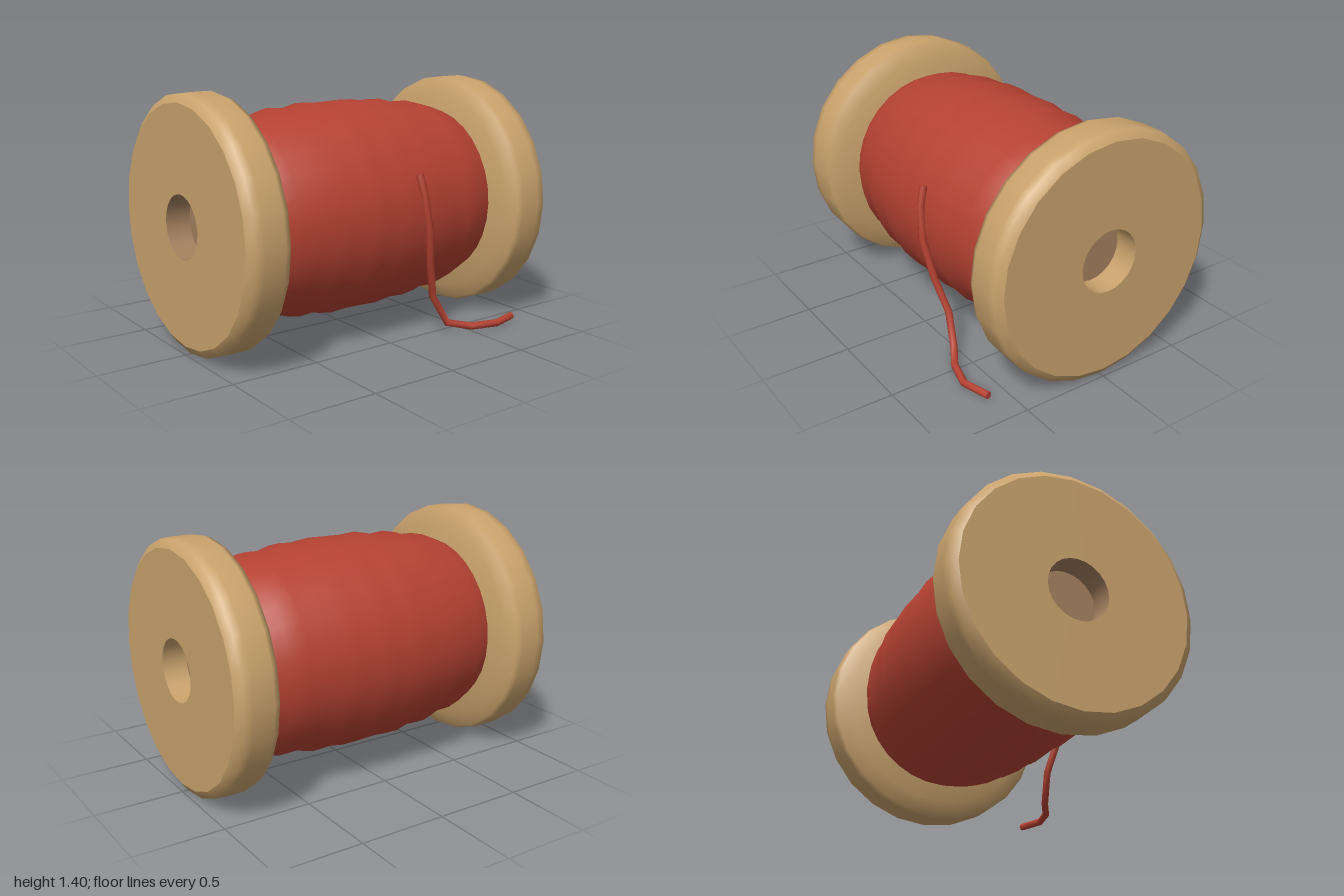
import * as THREE from 'three';

const AXIS_Y = 0.7;

export function createModel() {
  const model = new THREE.Group();
  const wood = new THREE.MeshStandardMaterial({ color: 0xc9a26c });
  wood.name = 'lightWood';
  const core = new THREE.MeshStandardMaterial({ color: 0xa3805e });
  core.name = 'darkWood';
  const red = new THREE.MeshStandardMaterial({ color: 0xb54232 });
  red.name = 'redThread';

  // Turned surface about the x axis, from [radius, x] pairs
  const turned = (name, profile, material, segments = 24) => {
    const points = profile.map(([r, x]) => new THREE.Vector2(r, x));
    const geometry = new THREE.LatheGeometry(points, segments).rotateZ(-Math.PI / 2);
    const mesh = new THREE.Mesh(geometry, material);
    mesh.name = name;
    return mesh;
  };

  // Flanges: rounded rim, flat end face and a shallow blind bore
  for (const side of [1, -1]) {
    const flange = new THREE.Group();
    flange.name = side > 0 ? 'leftFlange' : 'rightFlange';
    flange.add(
      turned('rim', [[0.46, 0.71], [0.505, 0.715], [0.6, 0.742], [0.684, 0.77],
        [0.698, 0.805], [0.698, 0.92], [0.694, 0.97], [0.65, 1]], wood),
      turned('endFace', [[0.65, 1], [0.175, 1]], wood),
      turned('boreWall', [[0.175, 1], [0.175, 0.86]], side > 0 ? wood : core),
      turned('boreBottom', [[0.175, 0.86], [0, 0.86]], core),
    );
    flange.rotation.y = side > 0 ? 0 : Math.PI;
    flange.position.y = AXIS_Y;
    model.add(flange);
  }

  // Wound thread: bulging body with slight ridges
  const radii = [0.505, 0.546, 0.549, 0.582, 0.574, 0.599, 0.592, 0.595,
    0.599, 0.584, 0.59, 0.562, 0.566, 0.541, 0.505];
  const winding = radii.map((r, i) => [r, -0.715 + (1.43 * i) / (radii.length - 1)]);
  const body = turned('woundThread', winding, red, 32);
  body.position.y = AXIS_Y;
  model.add(body);

  // Loose thread end hanging at the front
  const path = new THREE.CatmullRomCurve3([
    [0.14, 0.94, 0.56], [0.15, 0.84, 0.588], [0.18, 0.65, 0.6], [0.225, 0.43, 0.565],
    [0.29, 0.22, 0.515], [0.38, 0.055, 0.543], [0.5, 0.03, 0.615],
    [0.66, 0.03, 0.66], [0.82, 0.03, 0.615],
  ].map((p) => new THREE.Vector3(...p)));
  // Put one tube ring exactly on each path point
  path.getPointAt = path.getPoint;
  path.getTangentAt = path.getTangent;
  const strand = new THREE.Mesh(
    new THREE.TubeGeometry(path, path.points.length - 1, 0.021, 8), red);
  strand.name = 'looseThread';
  model.add(strand);
  for (const t of [0, 1]) {
    const cap = new THREE.Mesh(new THREE.CircleGeometry(0.021, 8), red);
    cap.name = 'threadTip';
    cap.position.copy(path.getPoint(t));
    cap.lookAt(path.getTangent(t).multiplyScalar(t ? 1 : -1).add(cap.position));
    model.add(cap);
  }
  return model;
}
